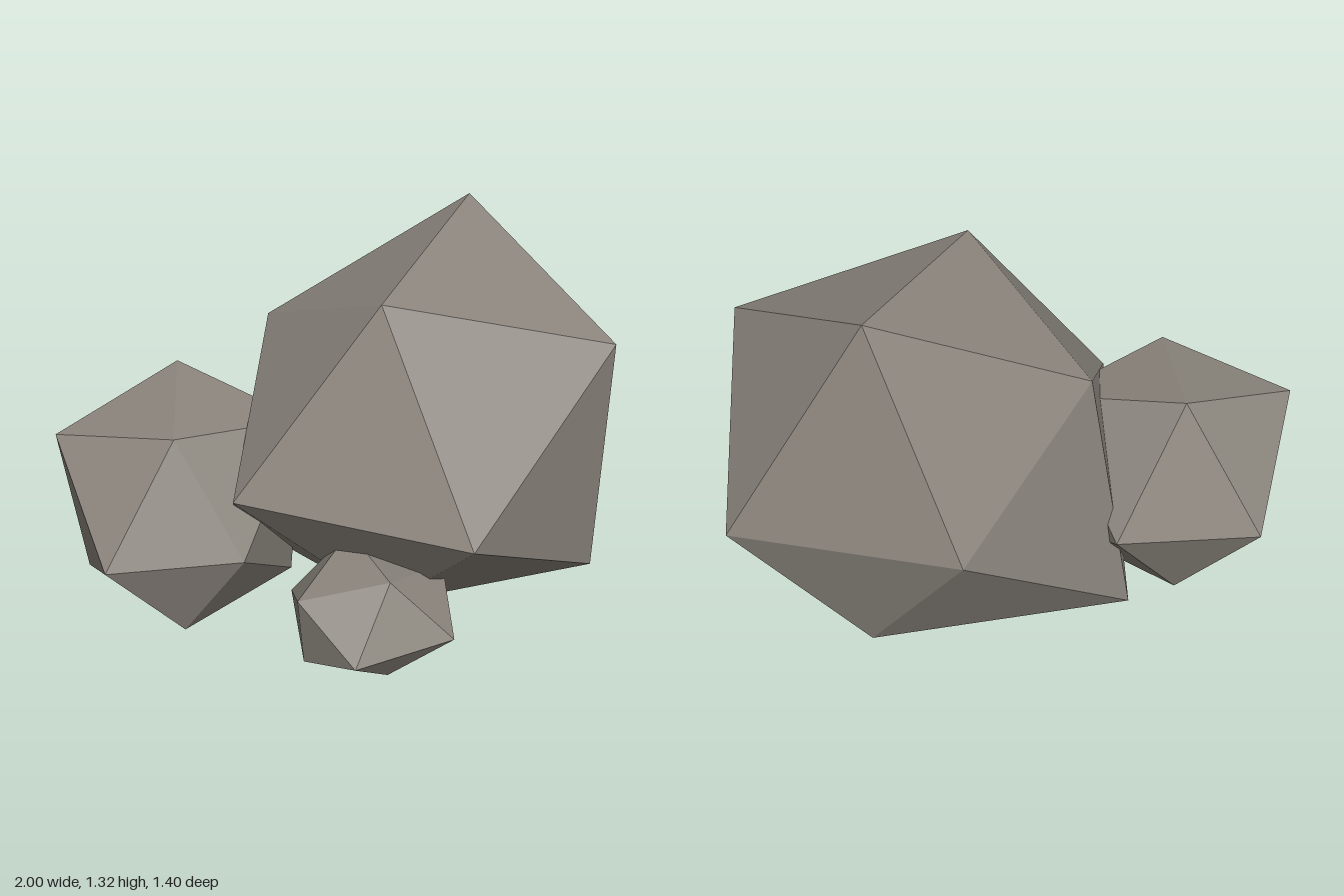
import * as THREE from 'three';

// Triangles of a twelve-cornered boulder: two top corners (0, 1), two bottom (2, 3),
// side pairs low/high (4-5, 6-7) and a ring of four at mid height (8-11).
const FACES = [
  0, 11, 5, 0, 5, 1, 0, 1, 7, 0, 7, 10, 0, 10, 11,
  1, 5, 9, 5, 11, 4, 11, 10, 2, 10, 7, 6, 7, 1, 8,
  3, 9, 4, 3, 4, 2, 3, 2, 6, 3, 6, 8, 3, 8, 9,
  4, 9, 5, 2, 4, 11, 6, 2, 10, 8, 6, 7, 9, 8, 1,
];

function boulder(name, corners, material) {
  const indexed = new THREE.BufferGeometry();
  indexed.setAttribute('position', new THREE.Float32BufferAttribute(corners.flat(), 3));
  indexed.setIndex(FACES);
  const geometry = indexed.toNonIndexed();
  geometry.computeVertexNormals();
  const mesh = new THREE.Mesh(geometry, material);
  mesh.name = name;
  return mesh;
}

export function createModel() {
  const model = new THREE.Group();
  model.name = 'rockCluster';
  const stone = new THREE.MeshStandardMaterial({ color: 0x8b857d, flatShading: true });
  stone.name = 'warm grey stone';

  // Tall main rock with a flattened underside
  model.add(boulder('largeRock', [
    [0.03, 1.22, 0.2], [0.53, 1.32, -0.38],
    [0.06, 0.04, 0.2], [0.56, 0.04, -0.4],
    [0.8, 0.12, 0.28], [0.82, 1.01, 0.29],
    [-0.34, 0.04, -0.49], [-0.21, 0.95, -0.38],
    [0.32, 0.56, -0.7], [1, 0.56, -0.32],
    [-0.48, 0.56, 0.2], [0.19, 0.56, 0.7],
  ], stone));

  // Medium rock leaning against its side
  model.add(boulder('mediumRock', [
    [-0.64, 0.745, 0.05], [-0.54, 0.8, -0.4],
    [-0.65, 0, 0.1], [-0.54, 0, -0.43],
    [-0.22, 0.06, -0.08], [-0.17, 0.68, -0.075],
    [-0.93, 0.1, -0.245], [-1, 0.65, -0.26],
    [-0.75, 0.35, -0.63], [-0.27, 0.35, -0.52],
    [-0.92, 0.35, 0.19], [-0.46, 0.35, 0.25],
  ], stone));

  // Small rock in front
  model.add(boulder('smallRock', [
    [-0.09, 0.4, 0.24], [-0.04, 0.39, 0.55],
    [-0.09, 0.01, 0.3], [-0.045, 0.01, 0.55],
    [-0.31, 0.05, 0.45], [-0.33, 0.31, 0.46],
    [0.2, 0.02, 0.38], [0.2, 0.3, 0.38],
    [0.16, 0.175, 0.63], [-0.2, 0.175, 0.695],
    [0.07, 0.175, 0.15], [-0.29, 0.175, 0.21],
  ], stone));

  return model;
}
